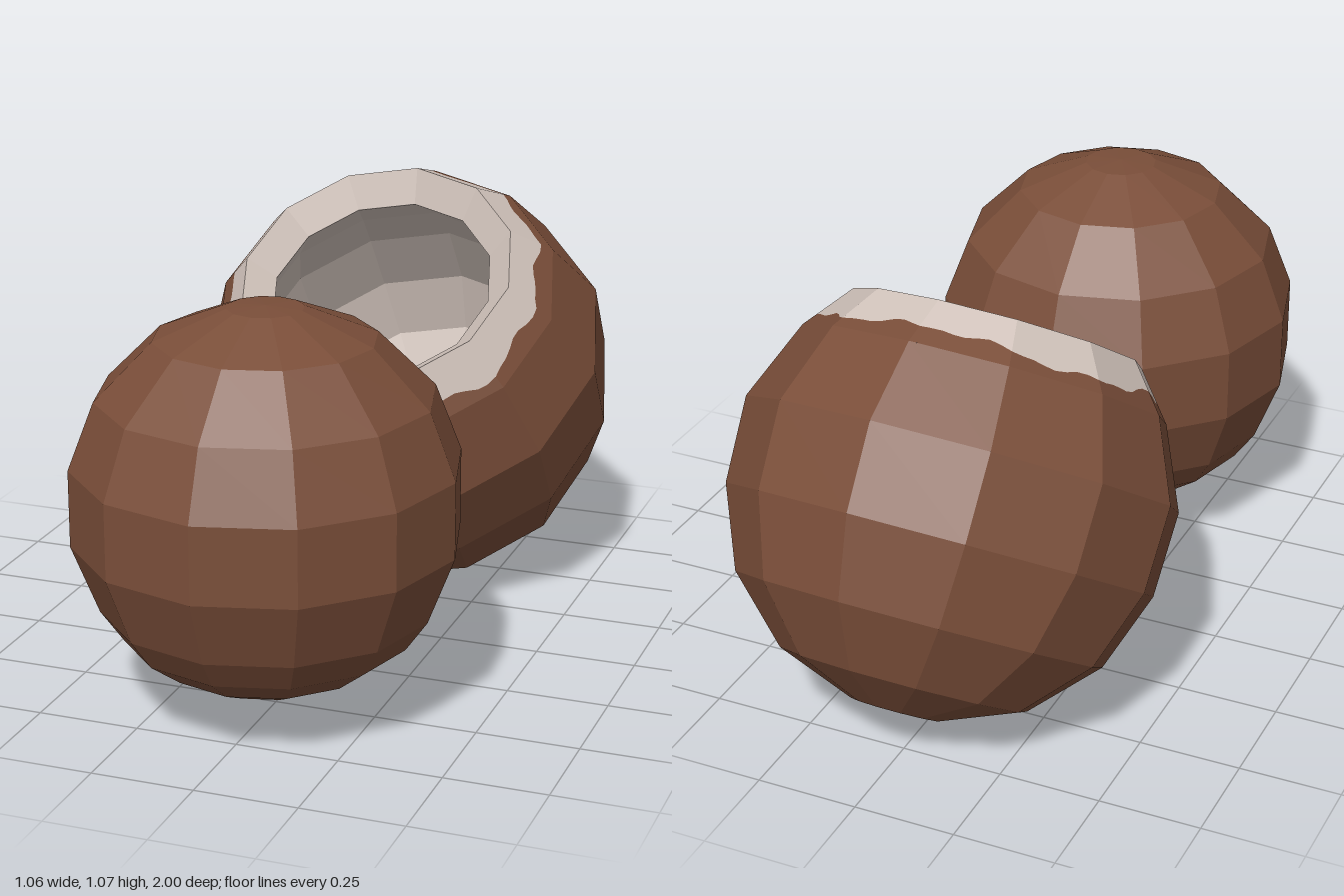
import * as THREE from 'three';

const SIDES = 12;
const shellBrown = new THREE.MeshStandardMaterial({ color: 0x7a4e39, flatShading: true });
shellBrown.name = 'shell brown';
const fleshWhite = new THREE.MeshStandardMaterial({ color: 0xd2c4bc, flatShading: true });
fleshWhite.name = 'flesh white';

// Faceted solid of revolution from [radius, height] pairs
function turned(name, profile, material) {
  const points = profile.map(([r, y]) => new THREE.Vector2(r, y));
  const mesh = new THREE.Mesh(new THREE.LatheGeometry(points, SIDES), material);
  mesh.name = name;
  return mesh;
}

// Collar of flat faces around the cut, between two edges given as 0..1 up the slope
const LOW = [0.447, 0.3], HIGH = [0.355, 0.413], STEPS = 8;
function collarPoint(k, t) {
  const r = THREE.MathUtils.lerp(LOW[0], HIGH[0], t);
  const y = THREE.MathUtils.lerp(LOW[1], HIGH[1], t);
  const corner = (i) => {
    const a = (i / SIDES) * Math.PI * 2;
    return new THREE.Vector3(r * Math.sin(a), y, r * Math.cos(a));
  };
  const i = Math.floor(k / STEPS);
  return corner(i).lerp(corner(i + 1), (k % STEPS) / STEPS);
}
function collar(name, bottom, top, material) {
  const positions = [], index = [], count = SIDES * STEPS;
  for (let k = 0; k <= count; k++) {
    positions.push(...collarPoint(k, bottom(k)), ...collarPoint(k, top(k)));
    if (k < count) {
      const a = k * 2;
      index.push(a, a + 2, a + 1, a + 1, a + 2, a + 3);
    }
  }
  const geometry = new THREE.BufferGeometry();
  geometry.setAttribute('position', new THREE.Float32BufferAttribute(positions, 3));
  geometry.setIndex(index);
  geometry.computeVertexNormals();
  const mesh = new THREE.Mesh(geometry, material);
  mesh.name = name;
  return mesh;
}

// Ragged line where the husk ends and the flesh begins
function raggedEdge(k) {
  const a = (k / (SIDES * STEPS)) * Math.PI * 2;
  return 0.32 + 0.08 * Math.sin(4 * a + 1) + 0.05 * Math.sin(11 * a) + 0.03 * Math.sin(23 * a + 2);
}

export function createModel() {
  const model = new THREE.Group();
  model.name = 'coconuts';

  // Whole coconut at the front
  const whole = turned('wholeCoconut', [
    [0, 0.088], [0.09, 0.077], [0.165, 0.1], [0.26, 0.145], [0.34, 0.205], [0.393, 0.28],
    [0.457, 0.445], [0.457, 0.63], [0.395, 0.79], [0.26, 0.925], [0.09, 0.995], [0, 1.0],
  ], shellBrown);
  whole.position.z = 0.543;
  model.add(whole);

  // Opened coconut behind, its cut tilted to the front
  const opened = new THREE.Group();
  opened.name = 'openedCoconut';
  opened.add(turned('openedShell', [
    [0, -0.5], [0.11, -0.512], [0.3, -0.44], [0.447, -0.295],
    [0.522, -0.103], [0.53, 0.105], LOW,
  ], shellBrown));
  opened.add(collar('shellEdge', () => 0, raggedEdge, shellBrown));
  opened.add(collar('peeledEdge', raggedEdge, () => 1, fleshWhite));

  // Bevelled rim and hollow inside
  opened.add(turned('fleshRim', [HIGH, [0.288, 0.347]], fleshWhite));
  opened.add(turned('fleshHollow', [
    [0.288, 0.347], [0.37, 0.22], [0.42, 0.08], [0.42, -0.1],
    [0.36, -0.25], [0.23, -0.36], [0, -0.41],
  ], fleshWhite));
  opened.rotation.set(0.616, -0.04, 0, 'YXZ');
  opened.position.set(0, 0.535, -0.465);
  model.add(opened);

  return model;
}
